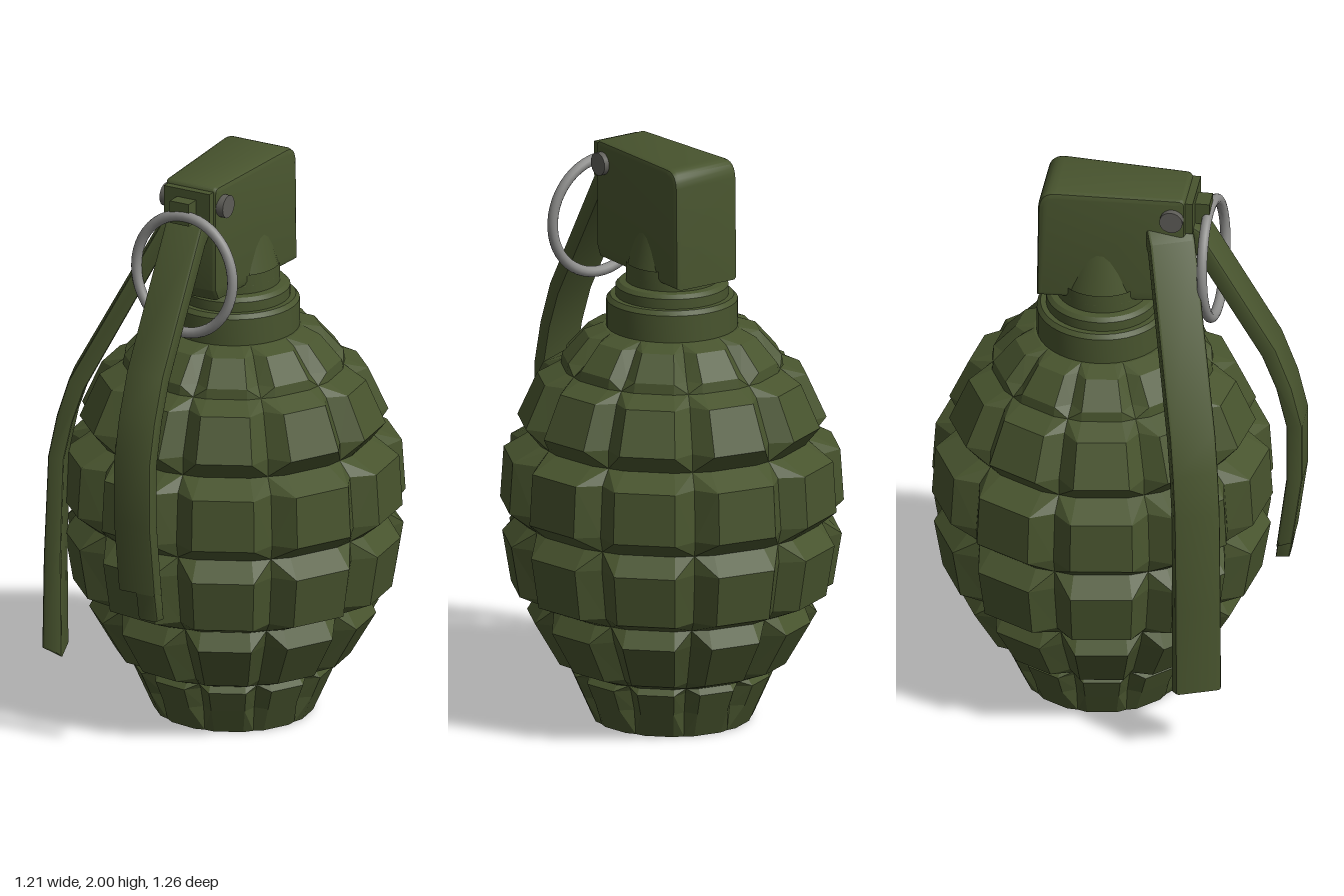
import * as THREE from 'three';
import { toCreasedNormals } from 'three/addons/utils/BufferGeometryUtils.js';

const green = new THREE.MeshStandardMaterial({ color: 0x48542e });
green.name = 'olive green';
const steel = new THREE.MeshStandardMaterial({ color: 0x8e8e8c });
steel.name = 'ring steel';
const darkSteel = new THREE.MeshStandardMaterial({ color: 0x5e5d58 });
darkSteel.name = 'pin steel';

function add(parent, name, geometry, material, x = 0, y = 0, z = 0) {
  const mesh = new THREE.Mesh(geometry, material);
  mesh.name = name;
  mesh.position.set(x, y, z);
  parent.add(mesh);
  return mesh;
}

// Segmented shell: 10 columns by 6 rows of chamfered blocks with V grooves between
function shellGeometry() {
  // [y, block radius, groove radius]; every third level is a horizontal groove
  const levels = [
    [0, 0.275, 0.268], [0.09, 0.315, 0.28], [0.165, 0.348, 0.305],
    [0.185, 0.33, 0.32], [0.215, 0.405, 0.35], [0.37, 0.495, 0.43],
    [0.43, 0.458, 0.45], [0.47, 0.55, 0.49], [0.65, 0.58, 0.52],
    [0.715, 0.52, 0.515], [0.77, 0.587, 0.53], [0.95, 0.575, 0.515],
    [1.0, 0.475, 0.47], [1.065, 0.528, 0.47], [1.215, 0.46, 0.41],
    [1.25, 0.38, 0.375], [1.285, 0.375, 0.335], [1.37, 0.3, 0.265],
    [1.39, 0.235, 0.23],
  ];
  const columns = 10, n = columns * 3;
  const offsets = [-18, -10.5, 10.5];
  const pos = [], idx = [];
  for (const [y, block, groove] of levels) {
    for (let j = 0; j < n; j++) {
      const t = THREE.MathUtils.degToRad(5 + 36 * Math.floor(j / 3) + offsets[j % 3]);
      const r = j % 3 === 0 ? groove : block;
      pos.push(r * Math.sin(t), y, r * Math.cos(t));
    }
  }
  for (let i = 0; i < levels.length - 1; i++) {
    for (let j = 0; j < n; j++) {
      const a = i * n + j, b = i * n + (j + 1) % n, c = b + n, d = a + n;
      // Run each corner diagonal from the groove crossing to the block corner
      if ((i % 3 === 2) !== (j % 3 === 2)) idx.push(a, b, d, b, c, d);
      else idx.push(a, b, c, a, c, d);
    }
  }
  // End caps
  const top = (levels.length - 1) * n;
  pos.push(0, 0, 0, 0, levels[levels.length - 1][0], 0);
  const base = levels.length * n;
  for (let j = 0; j < n; j++) {
    const k = (j + 1) % n;
    idx.push(base, k, j, base + 1, top + j, top + k);
  }
  const g = new THREE.BufferGeometry();
  g.setAttribute('position', new THREE.Float32BufferAttribute(pos, 3));
  g.setIndex(idx);
  const flat = g.toNonIndexed();
  flat.computeVertexNormals();
  return flat;
}

// Extrude a side profile given as (z, y) across the x axis
function sideExtrude(shape, width, bevel) {
  const depth = width - 2 * bevel;
  const g = new THREE.ExtrudeGeometry(shape, {
    depth, curveSegments: 6, bevelEnabled: true, bevelSize: bevel,
    bevelThickness: bevel, bevelOffset: -bevel, bevelSegments: 2,
  });
  g.translate(0, 0, -depth / 2);
  g.rotateY(-Math.PI / 2);
  return g;
}

function leverGeometry(outer, inner, width) {
  const pts = [...inner, ...outer.slice().reverse()].map(p => new THREE.Vector2(...p));
  return toCreasedNormals(sideExtrude(new THREE.Shape(pts), width, 0.01), 0.5);
}

export function createModel() {
  const model = new THREE.Group();
  model.name = 'grenade';
  const cx = 0.02, cz = -0.043;

  add(model, 'segmentedShell', shellGeometry(), green, cx, 0, cz);

  // Stepped collar
  const collar = [[0.225, 1.36], [0.225, 1.485], [0.212, 1.5], [0.193, 1.5], [0.193, 1.535],
    [0.18, 1.548], [0.158, 1.552], [0.158, 1.62]].map(p => new THREE.Vector2(...p));
  add(model, 'collar', toCreasedNormals(new THREE.LatheGeometry(collar, 40), 0.5), green, cx, 0, cz);
  add(model, 'neckFlare', new THREE.CylinderGeometry(0.11, 0.158, 0.2, 32), green, cx, 1.68, cz);

  // Fuze head and everything aligned with it
  const head = new THREE.Group();
  head.name = 'fuzeHead';
  head.position.set(0.006, 0, 0);
  head.rotation.y = -0.375;
  model.add(head);

  const side = new THREE.Shape();
  side.moveTo(-0.255, 1.58);
  side.lineTo(0.235, 1.58);
  side.lineTo(0.255, 1.62);
  side.lineTo(0.255, 1.97);
  side.quadraticCurveTo(0.255, 1.995, 0.23, 1.995);
  side.lineTo(-0.19, 2.0);
  side.quadraticCurveTo(-0.245, 2.0, -0.25, 1.94);
  side.closePath();
  const headGeo = sideExtrude(side, 0.26, 0.018);
  const p = headGeo.attributes.position;
  for (let i = 0; i < p.count; i++) {
    // Narrow towards the front
    p.setX(i, p.getX(i) * (1 - 0.22 * (p.getZ(i) + 0.25) / 0.5));
  }
  add(head, 'headBlock', toCreasedNormals(headGeo, 0.5), green);

  // Hinge lug and ring eye at the front
  add(head, 'hingeLug', new THREE.BoxGeometry(0.18, 0.12, 0.04), green, 0, 1.92, 0.26);
  add(head, 'ringEye', new THREE.BoxGeometry(0.075, 0.08, 0.06), green, 0, 1.91, 0.3);

  const pin = add(head, 'hingePin', new THREE.CylinderGeometry(0.04, 0.04, 0.25, 20), darkSteel, 0, 1.92, 0.21);
  pin.rotation.z = Math.PI / 2;

  // Front lever
  const frontOuter = [[0.24, 1.9], [0.3, 1.86], [0.565, 1.4], [0.62, 1.25], [0.655, 1.1],
    [0.655, 0.88], [0.62, 0.62]];
  const frontInner = [[0.24, 1.82], [0.27, 1.79], [0.515, 1.37], [0.565, 1.24], [0.6, 1.09],
    [0.6, 0.88], [0.565, 0.6]];
  add(head, 'frontLever', leverGeometry(frontOuter, frontInner, 0.145), green);
  add(head, 'frontLeverTip', leverGeometry([[0.624, 0.65], [0.6, 0.52]], [[0.569, 0.65], [0.552, 0.515]], 0.078),
    green, 0.033, 0, 0);

  // Side lever
  const sideOuter = [[0.1, 1.9], [0.19, 1.84], [0.51, 1.25], [0.55, 1.12], [0.58, 0.97], [0.595, 0.6], [0.6, 0.27]];
  const sideInner = [[0.1, 1.83], [0.16, 1.78], [0.455, 1.22], [0.495, 1.1], [0.525, 0.96], [0.535, 0.6], [0.532, 0.24]];
  const sideLever = add(model, 'sideLever', leverGeometry(sideOuter, sideInner, 0.16), green, 0, 0, 0.155);
  sideLever.rotation.y = -Math.PI / 2;

  // Pull ring
  const ring = add(model, 'pullRing', new THREE.TorusGeometry(0.195, 0.018, 12, 48), steel, -0.095, 1.695, 0.32);
  ring.scale.y = 1.06;
  ring.rotation.set(-0.06, -0.42, 0);

  return model;
}
